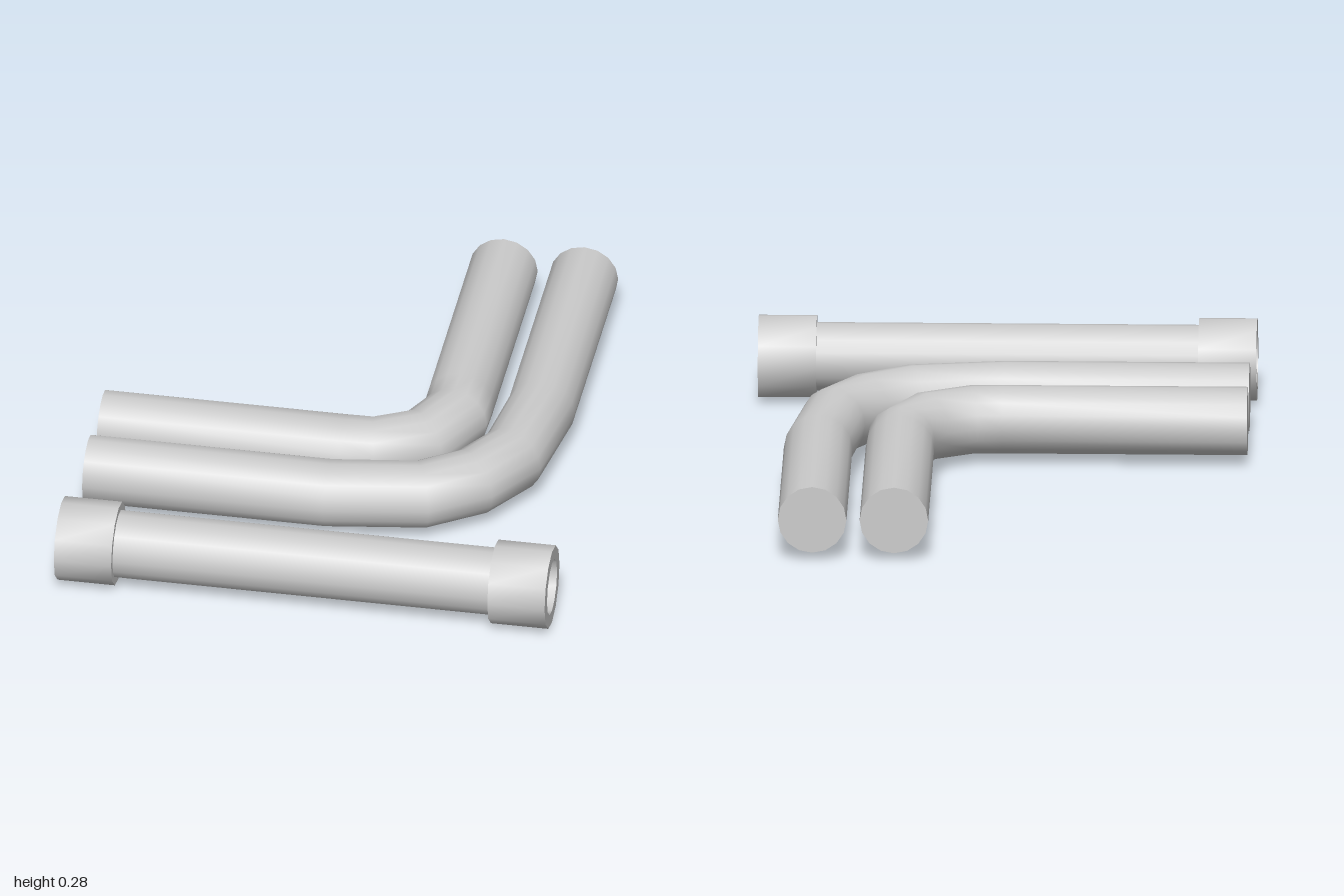
import * as THREE from 'three';
import { toCreasedNormals } from 'three/addons/utils/BufferGeometryUtils.js';

const R = 0.115;   // pipe radius
const Y = 0.143;   // height of the pipe axes
const SIDES = 16;

const material = new THREE.MeshStandardMaterial({ color: 0xcccccc });

function addMesh(parent, name, geometry) {
  const mesh = new THREE.Mesh(geometry, material);
  mesh.name = name;
  parent.add(mesh);
  return mesh;
}

// Sweeps a circle through stations [x, z, heading in degrees]; 0 runs to +x, 90 to -z
function sweptPipe(stations) {
  const positions = [], index = [];
  stations.forEach(([x, z, degrees], i) => {
    const a = THREE.MathUtils.degToRad(degrees);
    for (let j = 0; j < SIDES; j++) {
      const t = (j / SIDES) * Math.PI * 2;
      const side = R * Math.cos(t);
      positions.push(x + Math.sin(a) * side, Y + R * Math.sin(t), z + Math.cos(a) * side);
      if (i === 0) continue;
      const k = (j + 1) % SIDES;
      const p = (i - 1) * SIDES, q = i * SIDES;
      index.push(p + j, q + j, p + k, p + k, q + j, q + k);
    }
  });
  const geometry = new THREE.BufferGeometry();
  geometry.setAttribute('position', new THREE.Float32BufferAttribute(positions, 3));
  geometry.setIndex(index);
  geometry.computeVertexNormals();
  return geometry;
}

function bentPipe(name, stations) {
  const group = new THREE.Group();
  group.name = name;
  addMesh(group, 'pipeWall', sweptPipe(stations));
  // Flat caps on both ends
  const first = stations[0], last = stations[stations.length - 1];
  const startCap = addMesh(group, 'startCap', new THREE.CircleGeometry(R, SIDES));
  startCap.position.set(first[0], Y, first[1]);
  startCap.rotation.y = -Math.PI / 2;
  const endCap = addMesh(group, 'endCap', new THREE.CircleGeometry(R, SIDES));
  endCap.position.set(last[0], Y, last[1]);
  endCap.rotation.y = Math.PI;
  return group;
}

function straightPipe() {
  const group = new THREE.Group();
  group.name = 'straightPipe';
  group.position.set(0, Y, 0.86);
  const tube = new THREE.CylinderGeometry(R, R, 1.3, SIDES, 1, true);
  tube.rotateZ(Math.PI / 2);
  addMesh(group, 'tube', tube);

  // Socket collars with a blind recess, mirrored to both ends
  const profile = [
    [0.1, 0.64], [0.141, 0.64], [0.141, 0.835], [0.095, 0.835], [0.095, 0.65], [0, 0.65],
  ].map(([r, h]) => new THREE.Vector2(r, h));
  for (const side of [1, -1]) {
    const collar = toCreasedNormals(new THREE.LatheGeometry(profile, 12), 0.7);
    collar.rotateZ(-side * Math.PI / 2);
    addMesh(group, side > 0 ? 'leftCollar' : 'rightCollar', collar);
  }
  return group;
}

export function createModel() {
  const model = new THREE.Group();
  model.name = 'pipeSet';

  model.add(straightPipe());

  // Tight elbow
  model.add(bentPipe('innerElbowPipe', [
    [-0.82, 0.16, 0], [0, 0.16, 0], [0.1, 0.157, 10], [0.253, 0.078, 45],
    [0.334, -0.08, 80], [0.336, -0.18, 90], [0.336, -1, 90],
  ]));

  // Wide elbow
  model.add(bentPipe('outerElbowPipe', [
    [-0.82, 0.434, 0], [0, 0.434, 0], [0.305, 0.388, 22.5], [0.461, 0.283, 45],
    [0.565, 0.125, 67.5], [0.61, -0.18, 90], [0.61, -1, 90],
  ]));

  return model;
}
